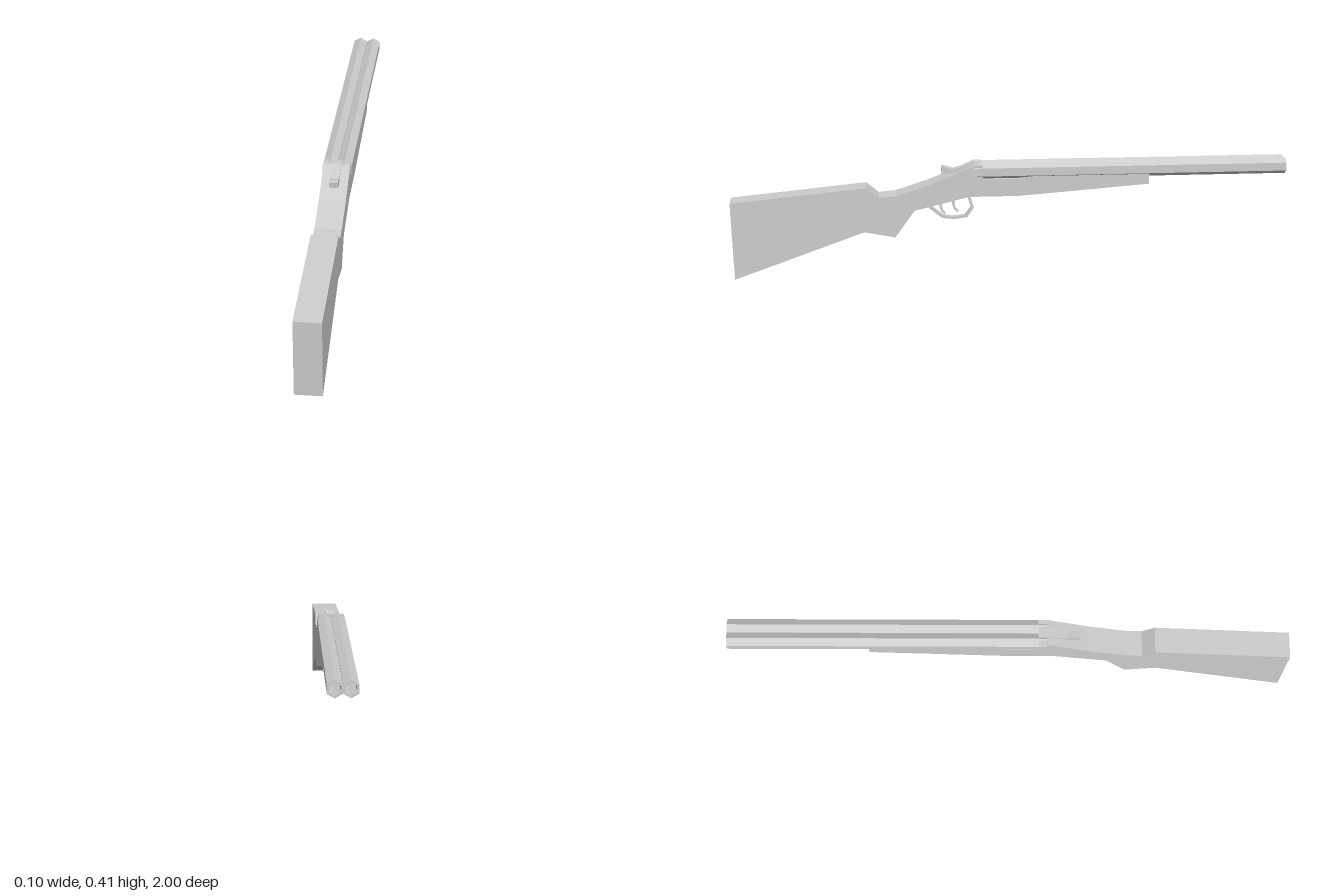
import * as THREE from 'three';

const steel = new THREE.MeshStandardMaterial({ color: 0xcccccc });
steel.name = 'plainGrey';

// Side profile given as [z, y] points, extruded to a width centred on x
function sidePlate(name, points, width, x = 0) {
  const shape = new THREE.Shape(points.map(([z, y]) => new THREE.Vector2(z, y)));
  const geo = new THREE.ExtrudeGeometry(shape, { depth: width, bevelEnabled: false });
  geo.translate(0, 0, -width / 2);
  geo.rotateY(-Math.PI / 2);
  geo.translate(x, 0, 0);
  const mesh = new THREE.Mesh(geo, steel);
  mesh.name = name;
  return mesh;
}

// Hexagon with a point at the top
function hexPoints(r) {
  return Array.from({ length: 6 }, (_, i) => {
    const a = Math.PI / 2 + (i * Math.PI) / 3;
    return new THREE.Vector2(Math.cos(a) * r, Math.sin(a) * r);
  });
}

function hexTube(name, x, y, z0, z1, outer, inner) {
  const shape = new THREE.Shape(hexPoints(outer));
  shape.holes.push(new THREE.Path(hexPoints(inner).reverse()));
  const geo = new THREE.ExtrudeGeometry(shape, { depth: z1 - z0, bevelEnabled: false });
  geo.translate(x, y, z0);
  const mesh = new THREE.Mesh(geo, steel);
  mesh.name = name;
  return mesh;
}

export function createModel() {
  const model = new THREE.Group();
  model.name = 'doubleBarrelGun';
  const width = 0.094;

  // Butt, grip and receiver in one slab
  model.add(sidePlate('stock', [
    [1, 0.28], [0.99, 0], [0.525, 0.165], [0.415, 0.143], [0.345, 0.24],
    [0.15, 0.287], [-0.03, 0.287], [-0.03, 0.35], [0.1, 0.35], [0.1, 0.402],
    [0.13, 0.402], [0.16, 0.388], [0.285, 0.335], [0.41, 0.295], [0.47, 0.29], [0.515, 0.327],
  ], width));

  // Tapering wood under the barrels
  model.add(sidePlate('forearm', [
    [-0.03, 0.287], [-0.5, 0.322], [-0.5, 0.358], [-0.08, 0.358], [-0.03, 0.35],
  ], width));

  // Twin hollow hexagonal barrels
  for (const side of [-1, 1]) {
    model.add(hexTube(side > 0 ? 'leftBarrel' : 'rightBarrel', side * 0.0255, 0.376, -1, 0.13, 0.029, 0.021));
  }

  // Opening lever with a raised thumb piece
  model.add(sidePlate('topLever', [
    [0.1, 0.404], [0.1, 0.385], [0.15, 0.375], [0.21, 0.366], [0.245, 0.367],
    [0.247, 0.389], [0.24, 0.393], [0.205, 0.381], [0.16, 0.394], [0.13, 0.404],
  ], 0.032));

  // Trigger guard strip
  model.add(sidePlate('triggerGuard', [
    [0.3, 0.25], [0.29, 0.238], [0.245, 0.202], [0.2, 0.197], [0.155, 0.203],
    [0.13, 0.237], [0.147, 0.29], [0.157, 0.29], [0.141, 0.238], [0.161, 0.211],
    [0.2, 0.206], [0.241, 0.211], [0.281, 0.243], [0.285, 0.257],
  ], 0.022));

  // Two curved triggers, one behind the other
  [0.2, 0.245].forEach((z, i) => {
    const y = i ? -0.012 : 0;
    model.add(sidePlate(i ? 'rearTrigger' : 'frontTrigger', [
      [z - 0.008, 0.285 + y], [z + 0.006, 0.285 + y], [z + 0.009, 0.255 + y], [z + 0.003, 0.235 + y],
      [z - 0.012, 0.222 + y], [z - 0.014, 0.227 + y], [z - 0.004, 0.24 + y], [z, 0.257 + y],
    ], 0.01, i ? -0.008 : 0.008));
  });

  return model;
}
